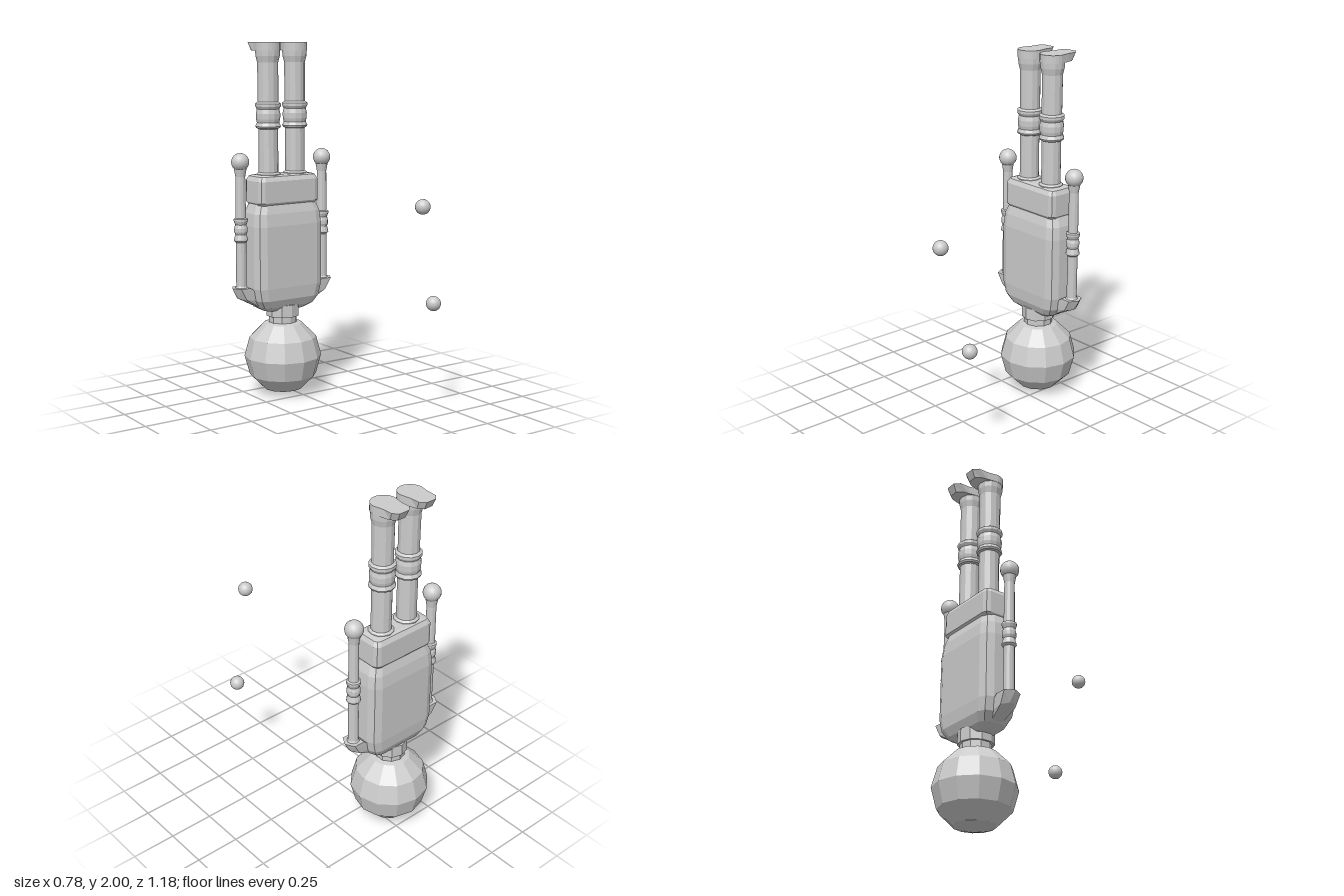
import * as THREE from 'three';
import { ConvexGeometry } from 'three/addons/geometries/ConvexGeometry.js';

const flat = new THREE.MeshStandardMaterial({ color: 0xcccccc, flatShading: true });
const smooth = new THREE.MeshStandardMaterial({ color: 0xcccccc });

function add(parent, name, geometry, x = 0, y = 0, z = 0, material = flat) {
  const mesh = new THREE.Mesh(geometry, material);
  mesh.name = name;
  mesh.position.set(x, y, z);
  parent.add(mesh);
  return mesh;
}

// Closed turned part from [radius, height] pairs, lowest first
function turned(profile, sides) {
  const pts = profile.map(([r, y]) => new THREE.Vector2(r, y));
  pts.unshift(new THREE.Vector2(0, profile[0][1]));
  pts.push(new THREE.Vector2(0, profile[profile.length - 1][1]));
  return new THREE.LatheGeometry(pts, sides);
}

// Rounded-rectangle sections stacked upward: [y, half width, half depth, corner]
function loft(sections) {
  const pos = [], index = [], n = 12;
  for (const [y, hx, hz, c] of sections) {
    for (let q = 0; q < 4; q++) {
      const sx = q === 0 || q === 3 ? 1 : -1, sz = q < 2 ? 1 : -1;
      for (let k = 0; k < 3; k++) {
        const a = ((q % 2 ? 2 - k : k) * Math.PI) / 4;
        pos.push(sx * (hx - c + c * Math.cos(a)), y, sz * (hz - c + c * Math.sin(a)));
      }
    }
  }
  for (let r = 0; r < sections.length - 1; r++) {
    for (let j = 0; j < n; j++) {
      const a = r * n + j, b = r * n + (j + 1) % n;
      index.push(a, a + n, b, b, a + n, b + n);
    }
  }
  const top = (sections.length - 1) * n;
  for (let j = 1; j < n - 1; j++) {
    index.push(0, j, j + 1, top, top + j + 1, top + j);
  }
  const g = new THREE.BufferGeometry();
  g.setAttribute('position', new THREE.Float32BufferAttribute(pos, 3));
  g.setIndex(index);
  g.computeVertexNormals();
  return g;
}

// Flat sole: round heel and narrower toe, with the toe underside tapered
function footGeometry() {
  const s = new THREE.Shape();
  s.moveTo(0.07, 0);
  s.lineTo(0.058, 0.06);
  s.lineTo(0.057, 0.115);
  s.lineTo(0.03, 0.143);
  s.lineTo(-0.03, 0.143);
  s.lineTo(-0.057, 0.115);
  s.lineTo(-0.058, 0.06);
  s.lineTo(-0.07, 0);
  s.absarc(0, 0, 0.07, Math.PI, Math.PI * 2, false);
  const g = new THREE.ExtrudeGeometry(s, { depth: 0.045, bevelEnabled: false, curveSegments: 6 });
  g.rotateX(-Math.PI / 2);
  const p = g.attributes.position;
  for (let i = 0; i < p.count; i++) {
    if (p.getY(i) < 0.01 && p.getZ(i) < -0.1) {
      p.setX(i, p.getX(i) * 0.85);
      p.setZ(i, p.getZ(i) + 0.02);
    }
  }
  g.computeVertexNormals();
  return g;
}

// Shoulder wedge from the neck side out to the arm
function shoulderGeometry(side) {
  const pts = [];
  const pair = (x, y, z) => pts.push(
    new THREE.Vector3(side * x, y, z), new THREE.Vector3(side * x, y, -z));
  pair(0.33, 0.65, 0);
  pair(0.302, 0.65, 0.05);
  pair(0.24, 0.65, 0.05);
  pair(0.295, 0.59, 0.012);
  pair(0.265, 0.585, 0.045);
  pair(0.13, 0.505, 0.025);
  pair(0.13, 0.56, 0.045);
  return new ConvexGeometry(pts);
}

export function createModel() {
  const model = new THREE.Group();
  const figure = new THREE.Group();
  figure.name = 'upsideDownFigure';
  figure.position.set(-0.06, 0, -0.368);
  model.add(figure);

  // Head and neck
  add(figure, 'head', new THREE.SphereGeometry(0.22, 12, 6), 0, 0.225, 0);
  add(figure, 'neck', turned([[0.082, 0.4], [0.082, 0.46], [0.095, 0.46], [0.095, 0.53]], 10));

  // Body
  add(figure, 'torso', loft([
    [0.5, 0.13, 0.05, 0.04],
    [0.525, 0.175, 0.08, 0.05],
    [0.57, 0.205, 0.1, 0.055],
    [0.64, 0.22, 0.106, 0.055],
    [0.99, 0.22, 0.106, 0.055],
    [1.06, 0.212, 0.097, 0.05],
    [1.115, 0.19, 0.08, 0.045],
  ]));
  add(figure, 'pelvis', loft([
    [1.105, 0.185, 0.08, 0.03],
    [1.12, 0.195, 0.09, 0.03],
    [1.24, 0.195, 0.09, 0.03],
    [1.265, 0.182, 0.076, 0.025],
    [1.272, 0.16, 0.06, 0.02],
  ]));

  const legProfile = [
    [0.066, 1.25], [0.068, 1.275], [0.055, 1.285],
    [0.055, 1.525], [0.066, 1.53], [0.071, 1.54], [0.062, 1.56],
    [0.067, 1.58], [0.068, 1.61], [0.062, 1.635],
    [0.071, 1.65], [0.071, 1.665], [0.057, 1.675],
    [0.058, 1.89], [0.067, 1.925], [0.069, 1.96], [0.07, 1.998],
  ];
  const armProfile = [
    [0.03, 0.62], [0.034, 0.65], [0.029, 0.66],
    [0.029, 0.905], [0.039, 0.915], [0.038, 0.925], [0.031, 0.95],
    [0.037, 0.965], [0.037, 0.985], [0.031, 1.005],
    [0.039, 1.025], [0.039, 1.037], [0.029, 1.042],
    [0.027, 1.27], [0.035, 1.315],
  ];

  // Mirrored limbs
  for (const [side, label] of [[1, 'left'], [-1, 'right']]) {
    add(figure, label + 'Leg', turned(legProfile, 12), side * 0.0885);
    add(figure, label + 'Foot', footGeometry(), side * 0.0885, 1.955, 0);
    add(figure, label + 'Shoulder', shoulderGeometry(side));
    add(figure, label + 'Arm', turned(armProfile, 12), side * 0.272);
    add(figure, label + 'Hand', new THREE.SphereGeometry(0.05, 16, 12), side * 0.272, 1.35, 0, smooth);
  }

  // Two loose balls
  add(model, 'upperBall', new THREE.SphereGeometry(0.04, 20, 14), 0.207, 1.163, 0.548, smooth);
  add(model, 'lowerBall', new THREE.SphereGeometry(0.04, 20, 14), 0.346, 0.625, 0.479, smooth);
  return model;
}
